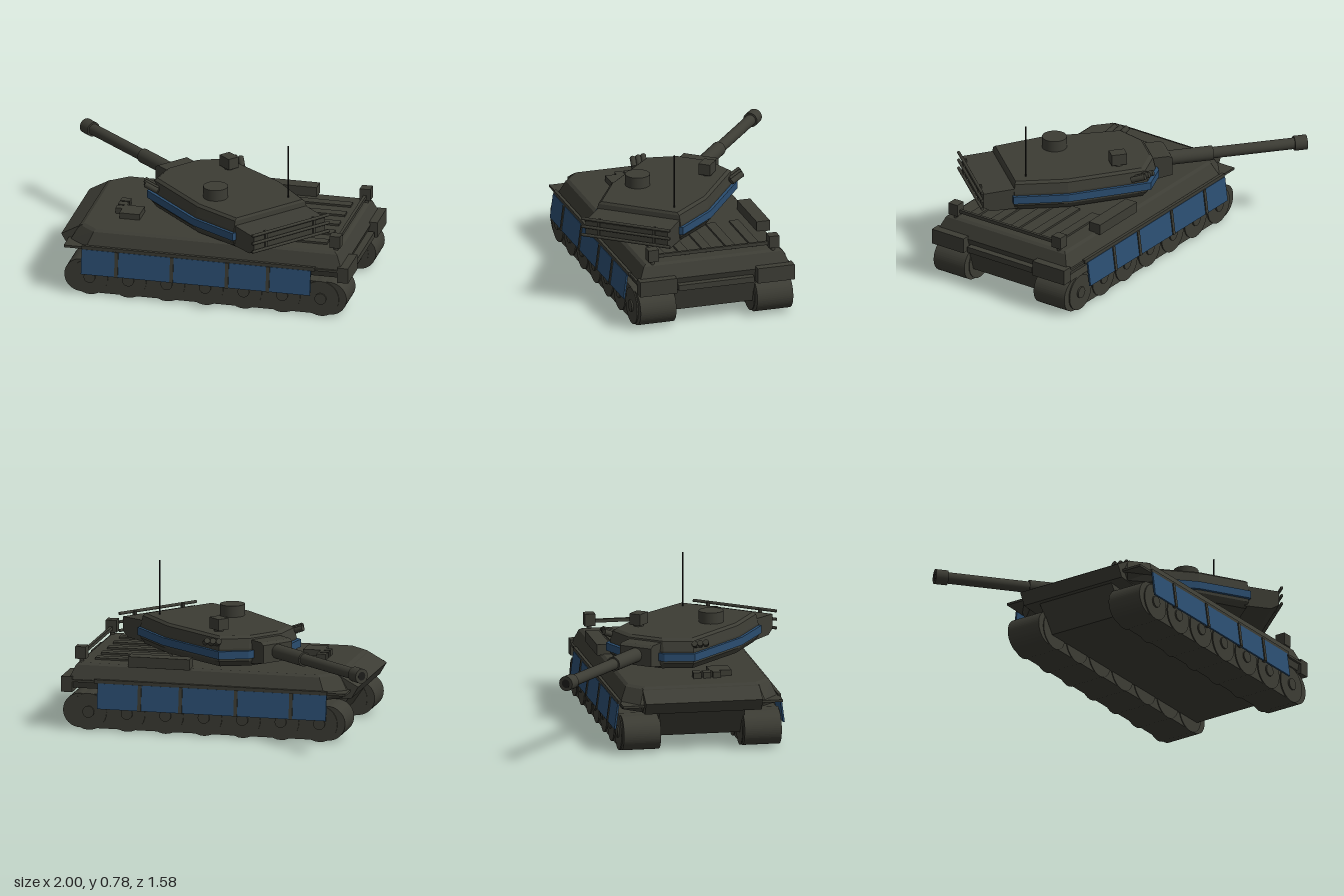
import * as THREE from 'three';

const olive = new THREE.MeshStandardMaterial({ color: 0x3c3c34 });
olive.name = 'olive armour';
const blue = new THREE.MeshStandardMaterial({ color: 0x2a4d70 });
blue.name = 'blue panel';
const black = new THREE.MeshStandardMaterial({ color: 0x1c1c1a });
black.name = 'black metal';

function add(parent, name, geometry, material, x = 0, y = 0, z = 0) {
  const mesh = new THREE.Mesh(geometry, material);
  mesh.name = name;
  mesh.position.set(x, y, z);
  parent.add(mesh);
  return mesh;
}

// box given by its minimum and maximum corners
function block(parent, name, a, b, material = olive) {
  const size = a.map((v, i) => b[i] - v);
  return add(parent, name, new THREE.BoxGeometry(...size), material,
    ...a.map((v, i) => (v + b[i]) / 2));
}

// rod or drum lying along x, y or z
function rod(parent, name, axis, r, length, pos, material = olive, sides = 20) {
  const g = new THREE.CylinderGeometry(r, r, length, sides);
  if (axis === 'x') g.rotateZ(Math.PI / 2);
  if (axis === 'z') g.rotateX(Math.PI / 2);
  return add(parent, name, g, material, ...pos);
}

// side profile in x, y extruded evenly about z = 0
function profile(points, width) {
  const shape = new THREE.Shape(points.map(p => new THREE.Vector2(...p)));
  return new THREE.ExtrudeGeometry(shape, { depth: width, bevelEnabled: false })
    .translate(0, 0, -width / 2);
}

// mirrored plan outlines [x, halfWidth] stacked at given heights
function loft(levels) {
  const rings = levels.map(({ y, half }) => [
    ...half.map(([x, h]) => [x, y, h]),
    ...half.slice().reverse().map(([x, h]) => [x, y, -h]),
  ]);
  const v = [];
  const n = rings[0].length;
  const tri = (...p) => p.forEach(q => v.push(...q));
  for (let k = 0; k + 1 < rings.length; k++) {
    const a = rings[k], b = rings[k + 1];
    for (let i = 0; i < n; i++) {
      const j = (i + 1) % n;
      tri(a[i], a[j], b[j]);
      tri(a[i], b[j], b[i]);
    }
  }
  const bottom = rings[0], top = rings[rings.length - 1];
  for (let i = 1; i + 1 < n; i++) {
    tri(top[0], top[i], top[i + 1]);
    tri(bottom[0], bottom[i + 1], bottom[i]);
  }
  const g = new THREE.BufferGeometry();
  g.setAttribute('position', new THREE.Float32BufferAttribute(v, 3));
  g.computeVertexNormals();
  return g;
}

function buildSide(hull, s) {
  const side = new THREE.Group();
  side.name = s > 0 ? 'leftRunningGear' : 'rightRunningGear';
  hull.add(side);

  // track belt with round ends
  const r = 0.088, e = 0.645;
  const belt = new THREE.Shape();
  belt.absarc(e, 0.098, r, -Math.PI / 2, Math.PI / 2);
  belt.absarc(-e, 0.098, r, Math.PI / 2, Math.PI * 1.5);
  const beltGeo = new THREE.ExtrudeGeometry(belt, { depth: 0.19, bevelEnabled: false, curveSegments: 14 });
  add(side, 'track', beltGeo, olive, 0, 0, s * 0.31 - 0.095);

  // road wheels
  for (let i = 0; i < 7; i++) {
    const x = -0.6 + i * 0.2;
    rod(side, 'roadWheel', 'z', 0.094, 0.2, [x, 0.095, s * 0.311], olive, 28);
    rod(side, 'wheelHub', 'z', 0.03, 0.01, [x, 0.095, s * 0.414]);
  }

  // fender and blue skirt panels divided by narrow straps
  const zA = s > 0 ? 0.2 : -0.41, zB = s > 0 ? 0.41 : -0.2;
  block(side, 'fender', [-0.735, 0.243, zA], [0.7, 0.255, zB]);
  block(side, 'fenderRail', [-0.64, 0.243, s * 0.41 - 0.008], [0.57, 0.263, s * 0.41 + 0.008]);
  const skirt = new THREE.Group();
  skirt.name = 'skirt';
  skirt.position.set(-0.045, 0.18, s * 0.425);
  skirt.rotation.x = -s * 0.13;
  side.add(skirt);
  add(skirt, 'skirtPanel', new THREE.BoxGeometry(1.19, 0.13, 0.009), blue);
  for (const x of [-0.412, -0.125, 0.162, 0.375]) {
    add(skirt, 'skirtStrap', new THREE.BoxGeometry(0.018, 0.132, 0.02), olive, x);
  }

  // rear corner boxes and lamps
  block(side, 'rearCornerBox', [0.685, 0.19, s * 0.312 - 0.098], [0.742, 0.27, s * 0.312 + 0.098]);
  block(side, 'rearLamp', [0.63, 0.35, s * 0.32 - 0.027], [0.685, 0.413, s * 0.32 + 0.027]);
  rod(side, 'lampPost', 'y', 0.012, 0.03, [0.657, 0.343, s * 0.32]);
}

function buildHull() {
  const hull = new THREE.Group();
  hull.name = 'hull';
  add(hull, 'lowerHull', profile([[-0.72, 0.215], [-0.62, 0.07], [0.66, 0.07], [0.7, 0.215]], 0.44), olive);
  add(hull, 'upperHull', loft([
    { y: 0.21, half: [[-0.69, 0.3], [-0.6, 0.39], [0.69, 0.39]] },
    { y: 0.255, half: [[-0.72, 0.32], [-0.62, 0.4], [0.705, 0.4]] },
    { y: 0.325, half: [[-0.68, 0.295], [-0.59, 0.37], [0.675, 0.37]] },
    { y: 0.335, half: [[-0.66, 0.285], [-0.58, 0.355], [0.66, 0.355]] },
  ]), olive);
  add(hull, 'nose', profile([[-0.6, 0.2], [-0.6, 0.333], [-0.67, 0.328], [-0.775, 0.27], [-0.74, 0.21]], 0.6), olive);
  for (const s of [1, -1]) buildSide(hull, s);

  // engine deck slats
  for (let i = 0; i < 5; i++) {
    const z = -0.25 + i * 0.125;
    block(hull, 'engineSlat', [0.24, 0.33, z - 0.025], [0.6, 0.345, z + 0.025]);
  }
  block(hull, 'deckBox', [0.08, 0.33, -0.39], [0.4, 0.385, -0.32]);
  block(hull, 'rearRail', [0.65, 0.362, -0.32], [0.665, 0.38, 0.32]);
  block(hull, 'rearStowage', [0.68, 0.195, -0.2], [0.73, 0.225, 0.2]);

  // driver hatch and front fittings
  block(hull, 'driverHatch', [-0.5, 0.33, 0.08], [-0.395, 0.365, 0.19]);
  for (let i = 0; i < 3; i++) {
    block(hull, 'periscope', [-0.535, 0.33, -0.01 + i * 0.05], [-0.485, 0.365, 0.03 + i * 0.05]);
  }
  hull.rotation.y = THREE.MathUtils.degToRad(40);
  hull.position.set(0.165, 0, -0.005);
  return hull;
}

function buildTurret() {
  const turret = new THREE.Group();
  turret.name = 'turret';
  turret.position.z = 0.01;
  const outline = [[-0.175, 0.1], [-0.1, 0.232], [0.31, 0.262], [0.575, 0.22]];
  const grow = d => outline.map(([x, h], i) => [x + (i < 2 ? -d : i === 3 ? d / 2 : 0), h + d]);
  rod(turret, 'turretRing', 'y', 0.2, 0.03, [0.2, 0.34, 0], olive, 32);
  add(turret, 'turretBody', loft([
    { y: 0.345, half: grow(-0.01) },
    { y: 0.375, half: grow(0.01) },
    { y: 0.44, half: grow(0.01) },
    { y: 0.488, half: grow(0) },
    { y: 0.5, half: grow(-0.014) },
  ]), olive);
  add(turret, 'blueBand', loft([
    { y: 0.39, half: grow(0.025) },
    { y: 0.43, half: grow(0.025) },
  ]), blue);

  // rear bustle with rack bars
  add(turret, 'bustle', profile([[0.56, 0.355], [0.7, 0.355], [0.74, 0.38], [0.74, 0.455], [0.56, 0.465]], 0.445), olive);
  for (const y of [0.382, 0.427, 0.47]) {
    rod(turret, 'rackBar', 'z', 0.008, 0.48, [0.75, y, 0], olive, 10);
  }
  for (const z of [-0.15, 0.15]) block(turret, 'rackPost', [0.73, 0.375, z - 0.006], [0.75, 0.475, z + 0.006]);

  // gun
  add(turret, 'mantlet', profile([[-0.28, 0.375], [-0.16, 0.355], [-0.16, 0.48], [-0.26, 0.48], [-0.28, 0.468]], 0.18), olive);
  rod(turret, 'barrelSleeve', 'x', 0.037, 0.24, [-0.39, 0.427, 0], olive, 24);
  rod(turret, 'barrel', 'x', 0.029, 0.46, [-0.72, 0.427, 0], olive, 24);
  rod(turret, 'muzzle', 'x', 0.038, 0.065, [-0.9675, 0.427, 0], olive, 24);
  rod(turret, 'muzzleBore', 'x', 0.022, 0.003, [-0.999, 0.427, 0], black);

  // roof fittings
  rod(turret, 'cupola', 'y', 0.063, 0.06, [0.28, 0.528, 0.125], olive, 28);
  block(turret, 'sight', [-0.02, 0.51, -0.18], [0.06, 0.568, -0.118]);
  rod(turret, 'sightBase', 'y', 0.025, 0.02, [0.02, 0.505, -0.15]);
  rod(turret, 'antenna', 'y', 0.004, 0.29, [0.505, 0.635, -0.165], black, 8);

  // smoke dischargers on both front corners
  for (const s of [1, -1]) {
    for (let i = 0; i < 3; i++) {
      const tube = rod(turret, 'smokeDischarger', 'x', 0.015, 0.075,
        [-0.105 + i * 0.026, 0.474, s * (0.245 + i * 0.018)], olive, 12);
      tube.rotation.set(0, s * 0.5, -0.35);
    }
    block(turret, 'dischargerMount', [-0.1, 0.455, s * 0.235 - 0.02], [-0.04, 0.47, s * 0.235 + 0.02]);
  }
  return turret;
}

export function createModel() {
  const model = new THREE.Group();
  model.name = 'tank';
  model.add(buildHull(), buildTurret());
  return model;
}
